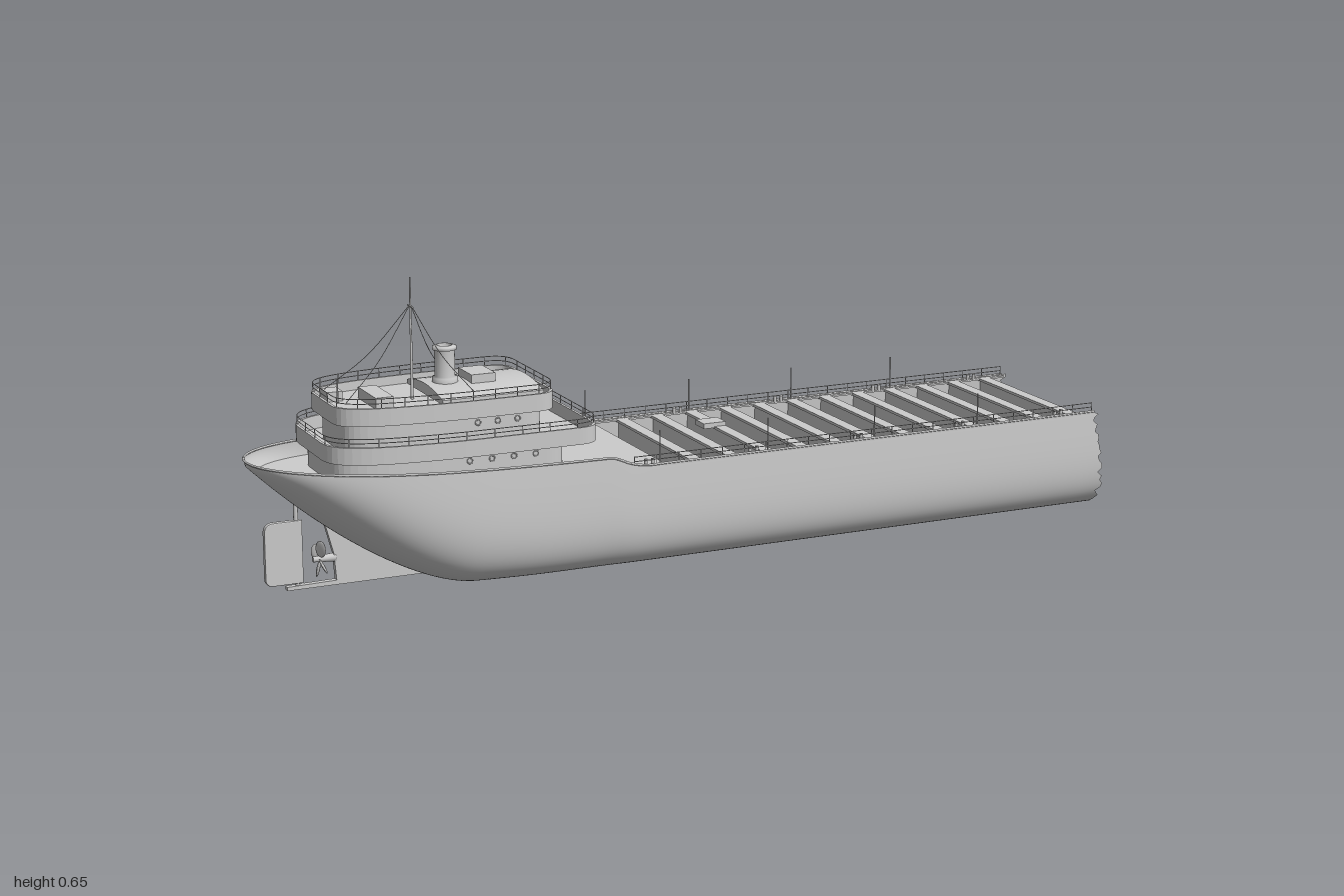
import * as THREE from 'three';

const grey = new THREE.MeshStandardMaterial({ color: 0xcccccc, side: THREE.DoubleSide });
const clamp = THREE.MathUtils.clamp, smooth = THREE.MathUtils.smoothstep;

function add(parent, name, geo, x = 0, y = 0, z = 0) {
  const m = new THREE.Mesh(geo, grey);
  m.name = name;
  m.position.set(x, y, z);
  parent.add(m);
  return m;
}
const box = (p, name, w, h, d, x, y, z) => add(p, name, new THREE.BoxGeometry(w, h, d), x, y, z);
const post = (p, name, r, h, x, y, z, sides = 5) =>
  add(p, name, new THREE.CylinderGeometry(r, r, h, sides), x, y + h / 2, z);
function tube(p, name, pts, r, closed = false, segs = pts.length * 2) {
  return add(p, name, new THREE.TubeGeometry(new THREE.CatmullRomCurve3(pts, closed), segs, r, 4, closed));
}

// Hull lines: sternward parameter, half beam, keel, rim and section fullness
const aft = (x) => clamp((-0.5 - x) / 0.5, 0, 1);
const beam = (x) => 0.213 * Math.sqrt(Math.max(0, 1 - aft(x) ** 2.5));
const keel = (x) => 0.28 * clamp((-0.55 - x) / 0.45, 0, 1) ** 1.6;
const rim = (x) => 0.24 + 0.025 * (1 - smooth(x, -0.26, -0.18)) + 0.025 * clamp((-0.25 - x) / 0.75, 0, 1) ** 1.5;
const full = (x) => 1.8 + 3.2 * smooth(x, -0.98, -0.35);
const tumble = (d) => 1 - 0.035 * (1 - d) ** 2;

// One cross-section point [z, y]; a runs 0..PI from the left rim under the keel to the right rim
function section(x, a) {
  const c = Math.cos(a), s = Math.sin(a), n = full(x);
  const r = (Math.abs(c) ** n + Math.abs(s) ** n) ** (-1 / n);
  const d = r * s;
  return [beam(x) * r * c * tumble(d), rim(x) - d * (rim(x) - keel(x))];
}

function grid(rows, cols, point) {
  const pos = [], idx = [];
  for (let i = 0; i <= rows; i++) for (let j = 0; j <= cols; j++) pos.push(...point(i, j));
  for (let i = 0; i < rows; i++) for (let j = 0; j < cols; j++) {
    const a = i * (cols + 1) + j, b = a + cols + 1;
    idx.push(a, a + 1, b, b, a + 1, b + 1);
  }
  const g = new THREE.BufferGeometry();
  g.setAttribute('position', new THREE.Float32BufferAttribute(pos, 3));
  g.setIndex(idx);
  g.computeVertexNormals();
  return g;
}

function hullGeometry() {
  let seed = 7;
  const rnd = () => (seed = (seed * 16807) % 2147483647) / 2147483647;
  const R = 90, C = 96;
  return grid(R, C, (i, j) => {
    let x = -1 + 1.965 * (i / R) ** 1.6;
    const [z, y] = section(x, (j / C) * Math.PI);
    // Torn edge at the open end
    if (i === R) x += 0.018 * smooth(0.24 - y, 0.02, 0.16) + (rnd() - 0.5) * 0.018;
    return [x, y, z];
  });
}

// Deckhouse outline: rounded front corners, tapering blunt stern
function plan(xa, xf, w, r = 0.05) {
  const s = new THREE.Shape();
  s.moveTo(xf - r, -w);
  s.quadraticCurveTo(xf, -w, xf, -w + r);
  s.lineTo(xf, w - r);
  s.quadraticCurveTo(xf, w, xf - r, w);
  s.lineTo(xa + 0.28, w);
  s.bezierCurveTo(xa + 0.07, w * 0.94, xa, w * 0.8, xa, w * 0.4);
  s.lineTo(xa, -w * 0.4);
  s.bezierCurveTo(xa, -w * 0.8, xa + 0.07, -w * 0.94, xa + 0.28, -w);
  s.closePath();
  return s;
}
function storey(p, name, shape, y0, y1) {
  const g = new THREE.ExtrudeGeometry(shape, { depth: y1 - y0, bevelEnabled: false, curveSegments: 14 });
  return add(p, name, g.rotateX(-Math.PI / 2), 0, y0, 0);
}
function bulwark(p, name, xa, xf, w, y0, y1) {
  const s = plan(xa, xf, w);
  s.holes.push(plan(xa + 0.006, xf - 0.006, w - 0.006, 0.046));
  storey(p, name, s, y0, y1);
}
// Posts and two rails around an outline
function planRail(p, shape, y, h) {
  const pts = shape.getSpacedPoints(56).slice(0, -1);
  for (const k of [0.5, 1])
    tube(p, 'rail', pts.map((v) => new THREE.Vector3(v.x, y + h * k, v.y)), 0.001, true, 112);
  pts.forEach((v, i) => i % 2 || post(p, 'railPost', 0.0011, h, v.x, y, v.y, 4));
}
// Portholes along the sides and on the front wall
function portholes(p, xf, w, ySide, yFront, xs) {
  const ring = new THREE.TorusGeometry(0.006, 0.0014, 6, 14);
  for (const s of [-1, 1]) {
    for (const x of xs) add(p, 'porthole', ring, x, ySide, s * w);
    for (const z of [0.035, 0.08]) add(p, 'porthole', ring, xf, yFront, s * z).rotation.y = Math.PI / 2;
  }
  const door = new THREE.Shape();
  door.moveTo(-0.011, 0); door.lineTo(0.011, 0); door.lineTo(0.011, 0.037);
  door.absarc(0, 0.037, 0.011, 0, Math.PI); door.closePath();
  add(p, 'door', new THREE.ExtrudeGeometry(door, { depth: 0.003, bevelEnabled: false }), xf - 0.001, yFront - 0.042, 0)
    .rotation.y = Math.PI / 2;
}

// Transverse plate filling the hull section, with hold and side openings if asked
function webPlate(x, thick, open) {
  const pts = [];
  for (let i = 0; i <= 48; i++) {
    const [z, y] = section(x, (i / 48) * Math.PI);
    pts.push(new THREE.Vector2(z * 0.995, Math.min(0.237, y * 0.99 + 0.001)));
  }
  const s = new THREE.Shape(pts);
  const hole = (list) => s.holes.push(new THREE.Path(list.map(([a, b]) => new THREE.Vector2(a, b))));
  if (open) {
    hole([[0.135, 0.19], [0.155, 0.135], [0.12, 0.04], [-0.12, 0.04], [-0.155, 0.135], [-0.135, 0.19]]);
    for (const m of [-1, 1]) {
      hole([[m * 0.17, 0.137], [m * 0.196, 0.137], [m * 0.196, 0.19], [m * 0.17, 0.19]]);
      hole([[m * 0.2, 0.131], [m * 0.165, 0.131], [m * 0.137, 0.07], [m * 0.15, 0.053], [m * 0.185, 0.053], [m * 0.2, 0.078]]);
    }
  }
  return new THREE.ExtrudeGeometry(s, { depth: thick, bevelEnabled: false }).rotateY(Math.PI / 2).translate(x - thick / 2, 0, 0);
}

export function createModel() {
  const ship = new THREE.Group();
  ship.name = 'shipSternHalf';
  const group = (name) => { const g = new THREE.Group(); g.name = name; ship.add(g); return g; };

  // Hull, rim and aft deck
  add(ship, 'hull', hullGeometry());
  for (const s of [0, Math.PI]) {
    const pts = [];
    for (let i = 0; i <= 60; i++) {
      const x = -1 + 1.96 * (i / 60) ** 1.6, [z, y] = section(x, s);
      pts.push(new THREE.Vector3(x, y, z));
    }
    tube(ship, 'gunwale', pts, 0.0028);
  }
  add(ship, 'aftDeck', grid(40, 2, (i, j) => {
    const x = -0.97 + 0.84 * (i / 40) ** 1.3, y = 0.237 + 0.02 * aft(x) ** 2;
    const d = (rim(x) - y) / (rim(x) - keel(x)), n = full(x);
    const w = beam(x) * (1 - Math.min(1, d) ** n) ** (1 / n) * tumble(d);
    return [x, y, (j - 1) * w];
  }));

  // Cargo hold: bulkhead, web frames, deck beams and side strips
  const hold = group('cargoHold');
  add(hold, 'bulkhead', webPlate(-0.13, 0.008, false));
  for (let k = 0; k < 12; k++) {
    const x = -0.051 + 0.087 * k;
    add(hold, 'webFrame', webPlate(x, 0.01, true));
    box(hold, 'deckBeam', 0.028, 0.006, 0.4, x, 0.235, 0);
  }
  for (const s of [-1, 1]) box(hold, 'sideStrip', 1.09, 0.004, 0.012, 0.415, 0.236, s * 0.2);
  box(hold, 'hatch', 0.055, 0.012, 0.045, 0.11, 0.241, -0.065);

  // Rails, lamp poles and bollards along the main deck
  const fittings = group('deckFittings');
  for (const s of [-1, 1]) {
    const z = s * 0.203;
    for (const y of [0.25, 0.26])
      tube(fittings, 'rail', [new THREE.Vector3(-0.2, y, z), new THREE.Vector3(0.955, y, z)], 0.001);
    for (let x = -0.2; x < 0.96; x += 0.0525) post(fittings, 'railPost', 0.0011, 0.024, x, 0.237, z, 4);
    for (const x of [-0.14, 0.12, 0.385, 0.65]) post(fittings, 'lampPole', 0.0016, 0.076, x, 0.237, z);
    for (const x of [-0.17, 0.08, 0.34, 0.6, 0.86]) for (const o of [0, 0.016])
      post(fittings, 'bollard', 0.004, 0.014, x + o, 0.237, s * 0.196, 8);
  }

  // Superstructure, level by level
  const house = group('superstructure');
  storey(house, 'lowerHouse', plan(-0.84, -0.335, 0.16), 0.23, 0.3);
  portholes(house, -0.335, 0.16, 0.282, 0.277, [-0.56, -0.51, -0.46, -0.41]);
  storey(house, 'boatDeck', plan(-0.86, -0.27, 0.19), 0.298, 0.306);
  bulwark(house, 'boatDeckBulwark', -0.86, -0.27, 0.19, 0.3, 0.335);
  planRail(house, plan(-0.857, -0.273, 0.187), 0.335, 0.018);
  storey(house, 'upperHouse', plan(-0.81, -0.375, 0.133), 0.3, 0.375);
  portholes(house, -0.375, 0.133, 0.356, 0.35, [-0.53, -0.485, -0.44]);
  storey(house, 'bridgeDeck', plan(-0.83, -0.352, 0.15), 0.37, 0.388);
  bulwark(house, 'bridgeBulwark', -0.83, -0.352, 0.15, 0.37, 0.408);
  planRail(house, plan(-0.827, -0.355, 0.147), 0.408, 0.02);

  // Roof with slight camber
  const roof = new THREE.BoxGeometry(0.23, 0.024, 0.22, 1, 1, 12);
  const rp = roof.attributes.position;
  for (let i = 0; i < rp.count; i++) if (rp.getY(i) > 0) rp.setY(i, 0.012 - 1.2 * rp.getZ(i) ** 2);
  roof.computeVertexNormals();
  add(house, 'roofPlatform', roof, -0.485, 0.408, 0);
  box(house, 'roofHatch', 0.055, 0.022, 0.08, -0.48, 0.426, 0);
  box(house, 'skylight', 0.04, 0.025, 0.115, -0.71, 0.4, 0);
  box(house, 'locker', 0.035, 0.022, 0.045, -0.785, 0.398, -0.07);
  post(house, 'boom', 0.002, 0.05, -0.785, 0.388, -0.03);

  // Funnel
  const profile = [[0.028, 0], [0.028, 0.014], [0.022, 0.016], [0.022, 0.073], [0.026, 0.074], [0.026, 0.081], [0.018, 0.084], [0.016, 0.084], [0.016, 0.06], [0, 0.06]];
  add(house, 'funnel', new THREE.LatheGeometry(profile.map(([r, y]) => new THREE.Vector2(r, y)), 24), -0.553, 0.416, 0);

  // Mast with sagging stays
  const rig = group('mastAndStays');
  add(rig, 'mast', new THREE.CylinderGeometry(0.0018, 0.0035, 0.268, 8), -0.628, 0.519, 0);
  box(rig, 'yard', 0.003, 0.003, 0.03, -0.628, 0.59, 0);
  for (const s of [-1, 1]) for (const [x, z] of [[-0.8, 0.07], [-0.52, 0.085]]) {
    const a = new THREE.Vector3(-0.628, 0.595, 0), b = new THREE.Vector3(x, 0.412, s * z);
    const mid = a.clone().lerp(b, 0.5);
    mid.y -= 0.018;
    tube(rig, 'stay', [a, mid, b], 0.0008, false, 12);
  }

  // Skeg, propeller and rudder
  const gear = group('sternGear');
  const slab = (name, pts, t) => add(gear, name, new THREE.ExtrudeGeometry(
    new THREE.Shape(pts.map(([x, y]) => new THREE.Vector2(x, y))), { depth: t, bevelEnabled: false }), 0, 0, -t / 2);
  slab('skeg', [[-0.92, 0], [-0.55, 0], [-0.6, 0.02], [-0.7, 0.06], [-0.8, 0.12], [-0.835, 0.145], [-0.815, 0.07], [-0.81, 0.01], [-0.92, 0.008]], 0.014);
  add(gear, 'propellerHub', new THREE.CylinderGeometry(0.006, 0.01, 0.05, 12), -0.835, 0.06, 0).rotation.z = Math.PI / 2;
  for (let k = 0; k < 4; k++) {
    const blade = add(gear, 'propellerBlade', new THREE.SphereGeometry(1, 12, 8).scale(0.003, 0.021, 0.014)
      .rotateY(0.6).translate(0, 0.026, 0), -0.845, 0.06, 0);
    blade.rotation.x = (k * Math.PI) / 2 + 0.4;
  }
  const r = new THREE.Shape();
  r.moveTo(-0.885, 0.015); r.lineTo(-0.885, 0.15); r.lineTo(-0.945, 0.15);
  r.quadraticCurveTo(-0.965, 0.15, -0.965, 0.13); r.lineTo(-0.965, 0.03);
  r.quadraticCurveTo(-0.965, 0.015, -0.95, 0.015); r.closePath();
  add(gear, 'rudder', new THREE.ExtrudeGeometry(r, { depth: 0.008, bevelSize: 0.002, bevelThickness: 0.003, bevelSegments: 2 }), 0, 0, -0.004);
  post(gear, 'rudderStock', 0.005, 0.2, -0.895, 0.004, 0, 10);
  return ship;
}
